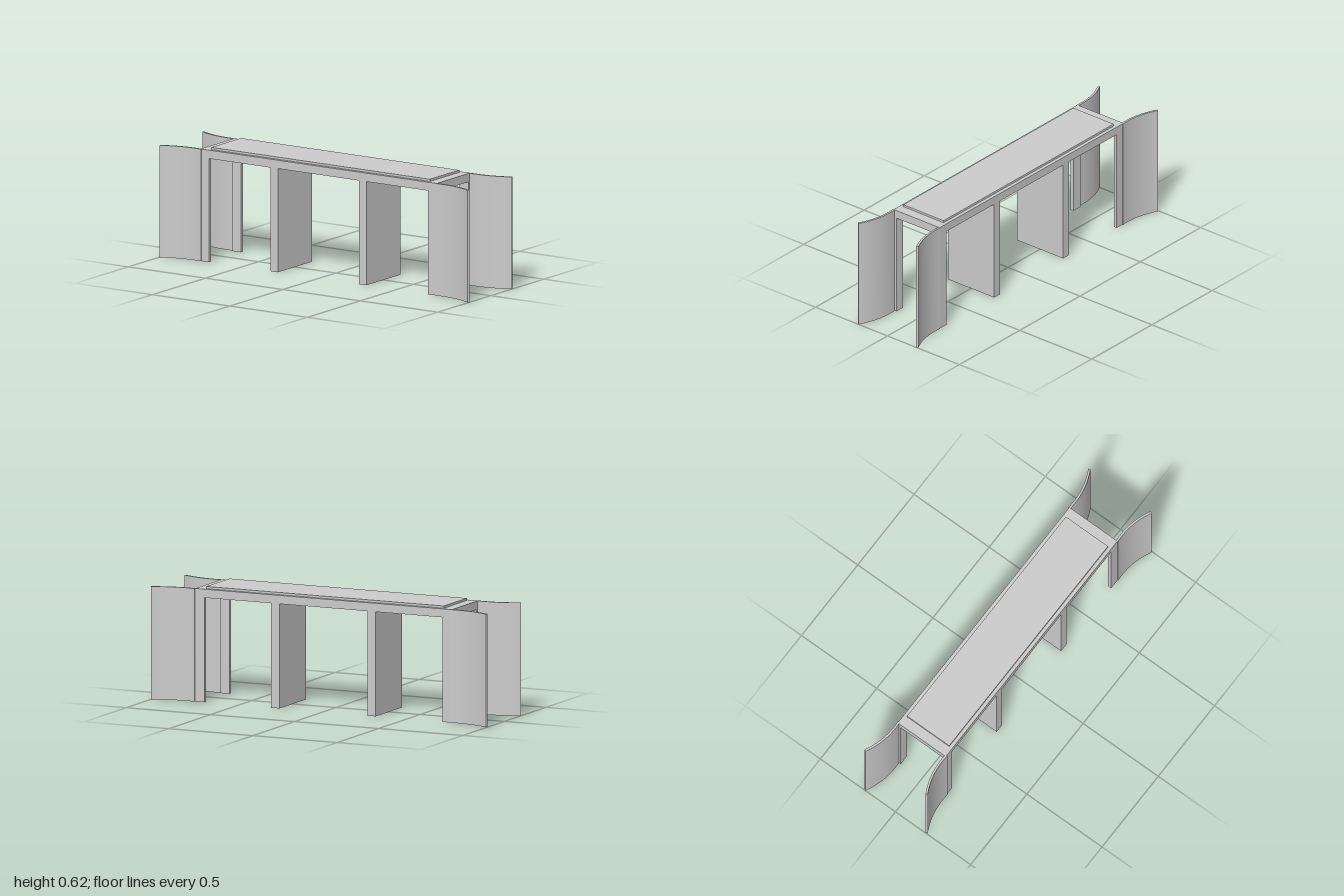
import * as THREE from 'three';
import { toCreasedNormals } from 'three/addons/utils/BufferGeometryUtils.js';

const TOP = 0.611, UNDER = 0.565;   // deck top and underside
const HALF_X = 0.763, HALF_Z = 0.16; // deck half length and half width
const INNER_X = 0.707, INNER_Z = 0.14;

export function createModel() {
  const model = new THREE.Group();
  model.name = 'bridge';
  const material = new THREE.MeshStandardMaterial({ color: 0xcccccc });

  const add = (name, geometry, parent) => {
    const mesh = new THREE.Mesh(geometry, material);
    mesh.name = name;
    parent.add(mesh);
    return mesh;
  };
  // Box given by its centre and bottom
  const box = (name, w, h, d, x, y, z, parent) =>
    add(name, new THREE.BoxGeometry(w, h, d), parent).position.set(x, y + h / 2, z);

  const span = new THREE.Group();
  span.name = 'span';
  span.position.x = -0.004;
  model.add(span);

  // Deck, raised roadway and the two wall-like piers
  box('deck', HALF_X * 2, TOP - UNDER, INNER_Z * 2, 0, UNDER, 0, span);
  box('roadway', 1.412, 0.012, INNER_Z * 2, 0, TOP, 0, span);
  for (const s of [-1, 1]) {
    box(s > 0 ? 'leftPier' : 'rightPier', 0.048, UNDER, HALF_Z * 2, s * 0.286, 0, 0, span);
  }

  // Side frames: beam and end posts in one portal shape
  const portal = new THREE.Shape([
    [-HALF_X, 0], [-INNER_X, 0], [-INNER_X, UNDER], [INNER_X, UNDER],
    [INNER_X, 0], [HALF_X, 0], [HALF_X, TOP], [-HALF_X, TOP],
  ].map(([x, y]) => new THREE.Vector2(x, y)));
  for (const s of [-1, 1]) {
    const frame = add(s > 0 ? 'frontFrame' : 'backFrame', new THREE.ExtrudeGeometry(portal, {
      depth: HALF_Z - INNER_Z, bevelEnabled: false,
    }), span);
    frame.position.z = s > 0 ? INNER_Z : -HALF_Z;
  }

  // Curved wing walls flaring out at the four corners
  const arcX = 0.8, arcZ = 0.575, inner = 0.425, outer = 0.413;
  const wingGeometry = (sx, sz) => {
    const start = -0.1, end = 0.49, steps = 20;
    const arc = (radius) => Array.from({ length: steps + 1 }, (_, i) => {
      const a = start + (end - start) * i / steps;
      return new THREE.Vector2(
        sx * (arcX + radius * Math.sin(a)), sz * (arcZ - radius * Math.cos(a)));
    });
    const shape = new THREE.Shape([...arc(inner), ...arc(outer).reverse()]);
    const geometry = new THREE.ExtrudeGeometry(shape, { depth: TOP, bevelEnabled: false });
    geometry.rotateX(Math.PI / 2).translate(0, TOP, 0);
    return toCreasedNormals(geometry, 0.5);
  };
  for (const sx of [-1, 1]) {
    for (const sz of [-1, 1]) {
      const name = (sz > 0 ? 'front' : 'back') + (sx > 0 ? 'Left' : 'Right') + 'Wing';
      add(name, wingGeometry(sx, sz), model);
    }
  }

  return model;
}
